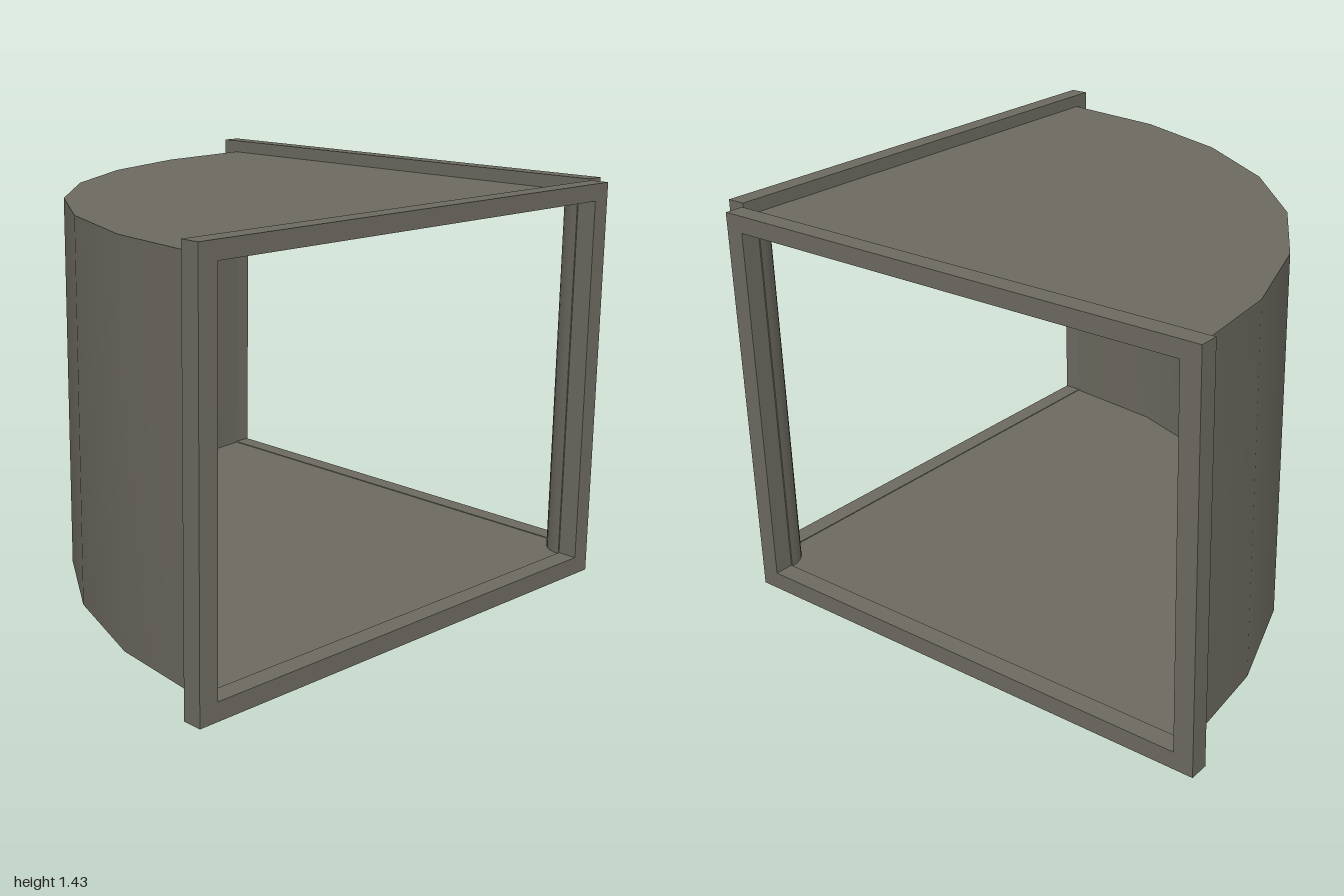
import * as THREE from 'three';
import { toCreasedNormals } from 'three/addons/utils/BufferGeometryUtils.js';

const CORNER = 0.93;           // bend centre on x and z, also the inner face of the flanges
const R_THROAT = 0.095, R_HEEL = 1.865;
const Y0 = 0.051, Y1 = 1.382;  // duct bottom and top
const WALL = 0.01, SEGMENTS = 7;

const material = new THREE.MeshStandardMaterial({ color: 0x6b695f });

function addMesh(parent, name, geometry) {
  const mesh = new THREE.Mesh(geometry, material);
  mesh.name = name;
  parent.add(mesh);
  return mesh;
}

// Quarter ring between two radii, standing from y0 to y1
function quarterRing(rIn, rOut, y0, y1) {
  const points = [];
  const arc = (r, i) => {
    const a = Math.PI / 2 * (1 + i / SEGMENTS);
    points.push(new THREE.Vector2(CORNER + r * Math.cos(a), -CORNER + r * Math.sin(a)));
  };
  for (let i = 0; i <= SEGMENTS; i++) arc(rOut, i);
  for (let i = SEGMENTS; i >= 0; i--) arc(rIn, i);
  const geometry = new THREE.ExtrudeGeometry(new THREE.Shape(points), { depth: y1 - y0, bevelEnabled: false });
  geometry.rotateX(-Math.PI / 2).translate(0, y0, 0);
  return toCreasedNormals(geometry, Math.PI / 6);
}

function rectangle(PathType, x0, x1, y0, y1) {
  return new PathType([[x0, y0], [x1, y0], [x1, y1], [x0, y1]].map(([x, y]) => new THREE.Vector2(x, y)));
}

// Rectangular frame; side = -1 flips its outline left to right
function flange(side) {
  const span = (a, b) => side > 0 ? [a, b] : [-b, -a];
  const shape = rectangle(THREE.Shape, ...span(-1, 0.9), 0, 1.43);
  shape.holes.push(rectangle(THREE.Path, ...span(-0.928, 0.83), 0.064, 1.37));
  return new THREE.ExtrudeGeometry(shape, { depth: 1 - CORNER, bevelEnabled: false }).translate(0, 0, CORNER);
}

export function createModel() {
  const model = new THREE.Group();
  model.name = 'ductElbow';

  // Sheet-metal bend: floor, roof and two curved walls
  addMesh(model, 'bottomCheek', quarterRing(R_THROAT, R_HEEL, Y0, Y0 + WALL));
  addMesh(model, 'topCheek', quarterRing(R_THROAT, R_HEEL, Y1 - WALL, Y1));
  addMesh(model, 'outerWall', quarterRing(R_HEEL - WALL, R_HEEL, Y0 + WALL, Y1 - WALL));
  addMesh(model, 'throatWall', quarterRing(R_THROAT, R_THROAT + WALL, Y0 + WALL, Y1 - WALL));

  // Connecting flanges on the two open ends
  addMesh(model, 'frontFlange', flange(1));
  addMesh(model, 'sideFlange', flange(-1)).rotation.y = Math.PI / 2;

  return model;
}
